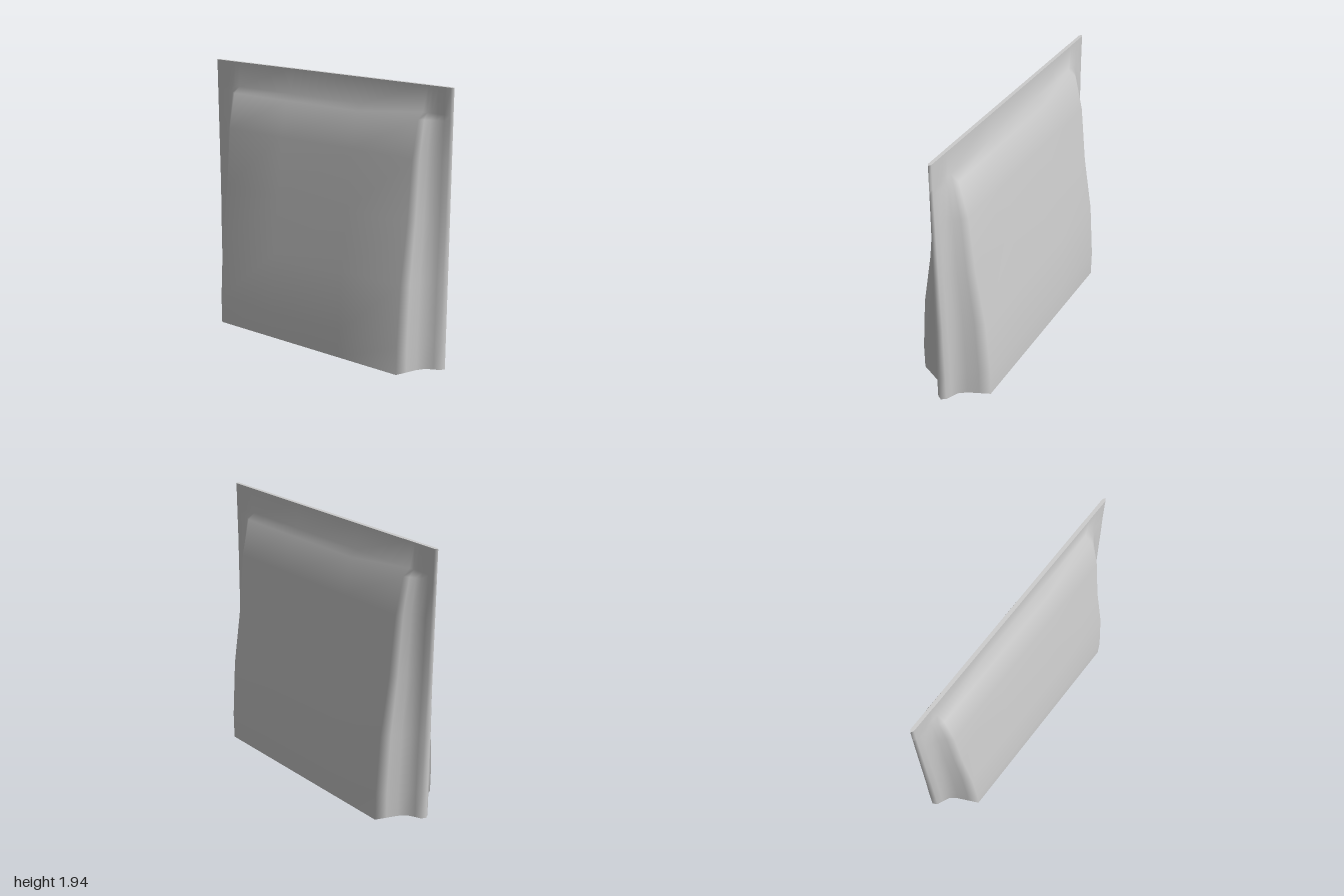
import * as THREE from 'three';

// Half width of the pouch at each height: [y, half width]
const PROFILE = [[0, 0.275], [0.2, 0.275], [0.63, 0.243], [1.05, 0.175], [1.47, 0.132], [1.72, 0.07], [1.76, 0.013], [1.94, 0.013]];

// Taper toward each side seam: [z, fraction of half width]
const TAPER = [[1, 0], [0.98, 0.12], [0.94, 0.18], [0.89, 0.27], [0.85, 0.46], [0.815, 0.73], [0.78, 1], [0.3, 1]];

// Closed cross-section, running from the front seam round the +x side to the back and home
function section(halfWidth) {
  const quarter = TAPER.map(([z, f]) => {
    const x = z === 1 ? 0 : Math.max(halfWidth * f, 0.012);
    return [x, z];
  });
  const back = quarter.map(([x, z]) => [x, -z]).reverse();
  const side = [...quarter, ...back];
  const other = side.slice(1, -1).map(([x, z]) => [-x, z]).reverse();
  return [...side, ...other];
}

// Skin joining the cross-sections, with smooth normals
function skin() {
  const positions = [], index = [];
  const n = section(1).length;
  PROFILE.forEach(([y, w], row) => {
    section(w).forEach(([x, z]) => positions.push(x, y, z));
    if (row === PROFILE.length - 1) return;
    for (let i = 0; i < n; i++) {
      const a = row * n + i, b = row * n + (i + 1) % n;
      index.push(a, b, b + n, a, b + n, a + n);
    }
  });
  const geometry = new THREE.BufferGeometry();
  geometry.setAttribute('position', new THREE.Float32BufferAttribute(positions, 3));
  geometry.setIndex(index);
  geometry.computeVertexNormals();
  return geometry;
}

// Flat end face; direction is 1 for up and -1 for down
function cap([y, w], direction) {
  const shape = new THREE.Shape(section(w).map(([x, z]) => new THREE.Vector2(x, z)));
  return new THREE.ShapeGeometry(shape).rotateX(-direction * Math.PI / 2).translate(0, y, 0);
}

export function createModel() {
  const group = new THREE.Group();
  group.name = 'pouch';
  const film = new THREE.MeshStandardMaterial({ color: 0xcccccc });
  film.name = 'pale grey film';

  const add = (name, geometry) => {
    const mesh = new THREE.Mesh(geometry, film);
    mesh.name = name;
    group.add(mesh);
  };

  add('pouchBody', skin());
  add('pouchBase', cap(PROFILE[0], -1));
  add('topSealEdge', cap(PROFILE[PROFILE.length - 1], 1));
  return group;
}
